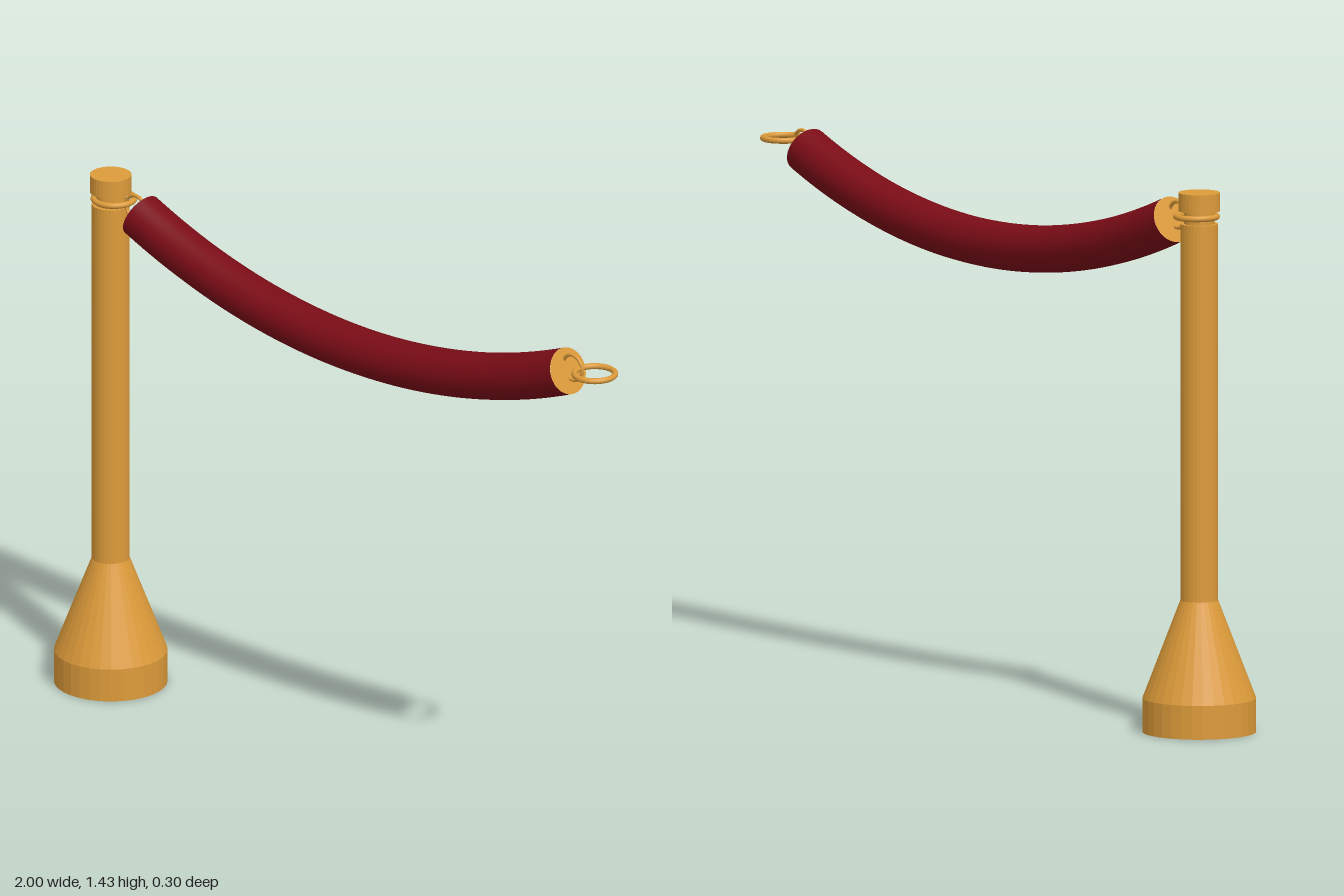
import * as THREE from 'three';

const POST_X = -0.85, ROPE_X = 0.05;

export function createModel() {
  const model = new THREE.Group();
  model.name = 'ropeBarrier';
  const brass = new THREE.MeshStandardMaterial({ color: 0xdd9b3a });
  const brassFlat = new THREE.MeshStandardMaterial({ color: 0xdd9b3a, flatShading: true });
  const velvet = new THREE.MeshStandardMaterial({ color: 0x7a0c16 });

  const add = (name, geometry, material, x, y, parent = model) => {
    const mesh = new THREE.Mesh(geometry, material);
    mesh.name = name;
    mesh.position.set(x, y, 0);
    parent.add(mesh);
    return mesh;
  };

  // Post: weighted base, cone, shaft, narrow neck and cap in one turned profile
  const profile = [
    [0, 0], [0.15, 0], [0.15, 0.09], [0.05, 0.35], [0.05, 1.352],
    [0.04, 1.352], [0.04, 1.386], [0.055, 1.386], [0.055, 1.435], [0, 1.435],
  ].map(([r, y]) => new THREE.Vector2(r, y));
  add('post', new THREE.LatheGeometry(profile, 32), brassFlat, POST_X, 0);

  // Rope: a circular arc hanging between its two ends
  const R = 2.05, r = 0.0625, half = 0.395, centreY = 1.1925 + R;
  const arc = new THREE.TorusGeometry(R, r, 32, 48, half * 2);
  arc.rotateZ(-Math.PI / 2 - half);
  add('rope', arc, velvet, ROPE_X, centreY);

  // Each end: brass disc, upright link and flat hooking ring
  for (const side of [-1, 1]) {
    const end = new THREE.Group();
    end.name = side < 0 ? 'rightRopeEnd' : 'leftRopeEnd';
    model.add(end);

    const disc = new THREE.CircleGeometry(r, 32);
    disc.rotateY(side * Math.PI / 2);
    add('endDisc', disc, brass,
      ROPE_X + side * (R * Math.sin(half) + 0.0005),
      centreY - R * Math.cos(half), end).rotation.z = side * half;

    add('link', new THREE.TorusGeometry(0.035, 0.005, 10, 32), brass, ROPE_X + side * 0.807, 1.365, end);

    const ring = new THREE.TorusGeometry(0.054, 0.008, 10, 40);
    ring.rotateX(Math.PI / 2);
    add('hookRing', ring, brass, ROPE_X + side * 0.888, 1.37, end);
  }
  return model;
}
